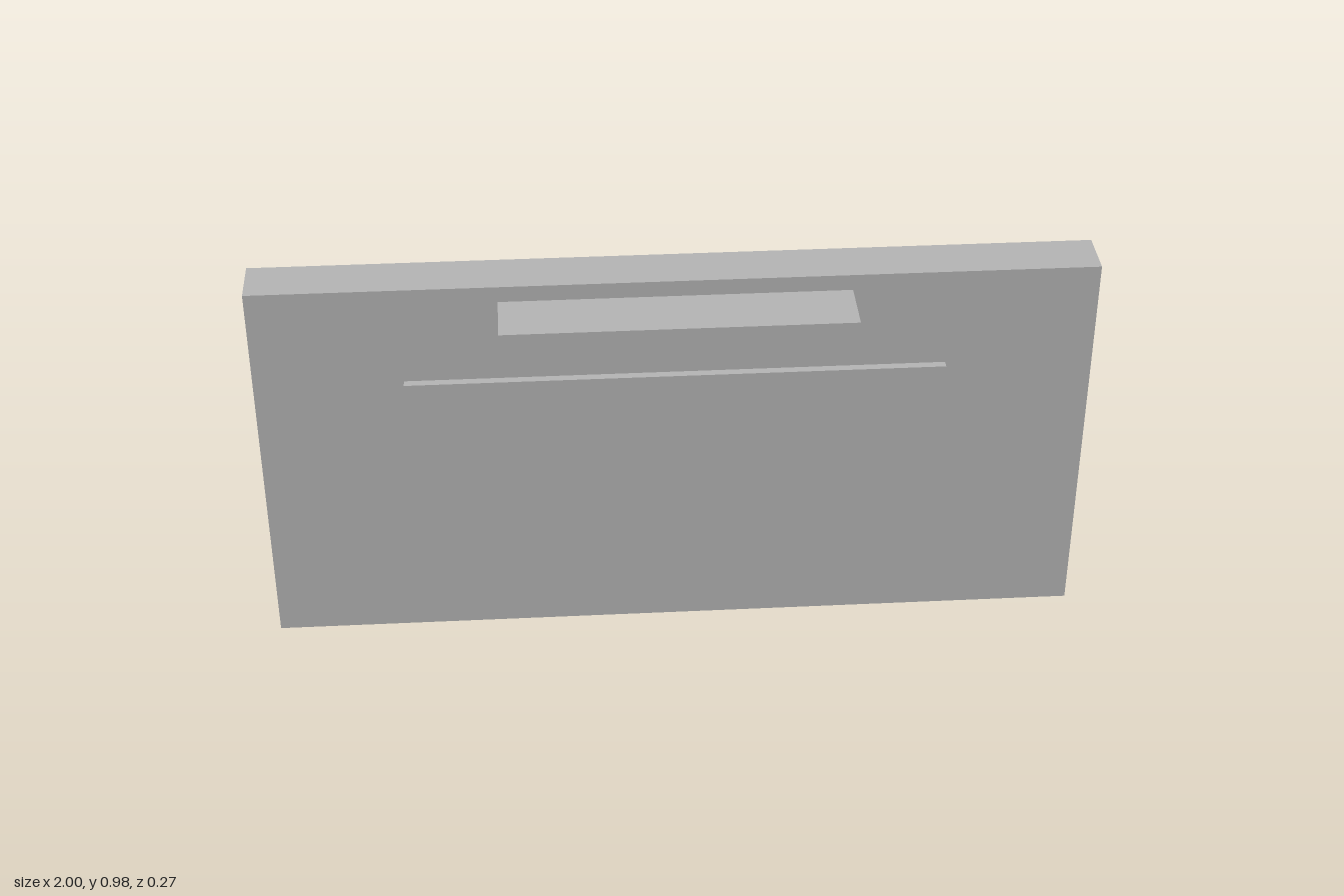
import * as THREE from 'three';

export function createModel() {
  const model = new THREE.Group();
  model.name = 'wallSign';

  const grey = new THREE.MeshStandardMaterial({ color: 0xb2b2b2 });
  grey.name = 'plain grey';

  // Box centred on x = 0, given its width and its y and z limits
  function addBox(name, width, y0, y1, z0, z1) {
    const mesh = new THREE.Mesh(new THREE.BoxGeometry(width, y1 - y0, z1 - z0), grey);
    mesh.name = name;
    mesh.position.set(0, (y0 + y1) / 2, (z0 + z1) / 2);
    model.add(mesh);
  }

  // Thick backing slab
  addBox('backBoard', 2, 0, 0.98, -0.135, -0.01);
  // Thin raised panel on the front
  addBox('frontPanel', 1.29, 0.21, 0.73, -0.01, 0.01);
  // Bar standing out above the panel
  addBox('topBar', 0.83, 0.835, 0.94, -0.01, 0.135);

  return model;
}
